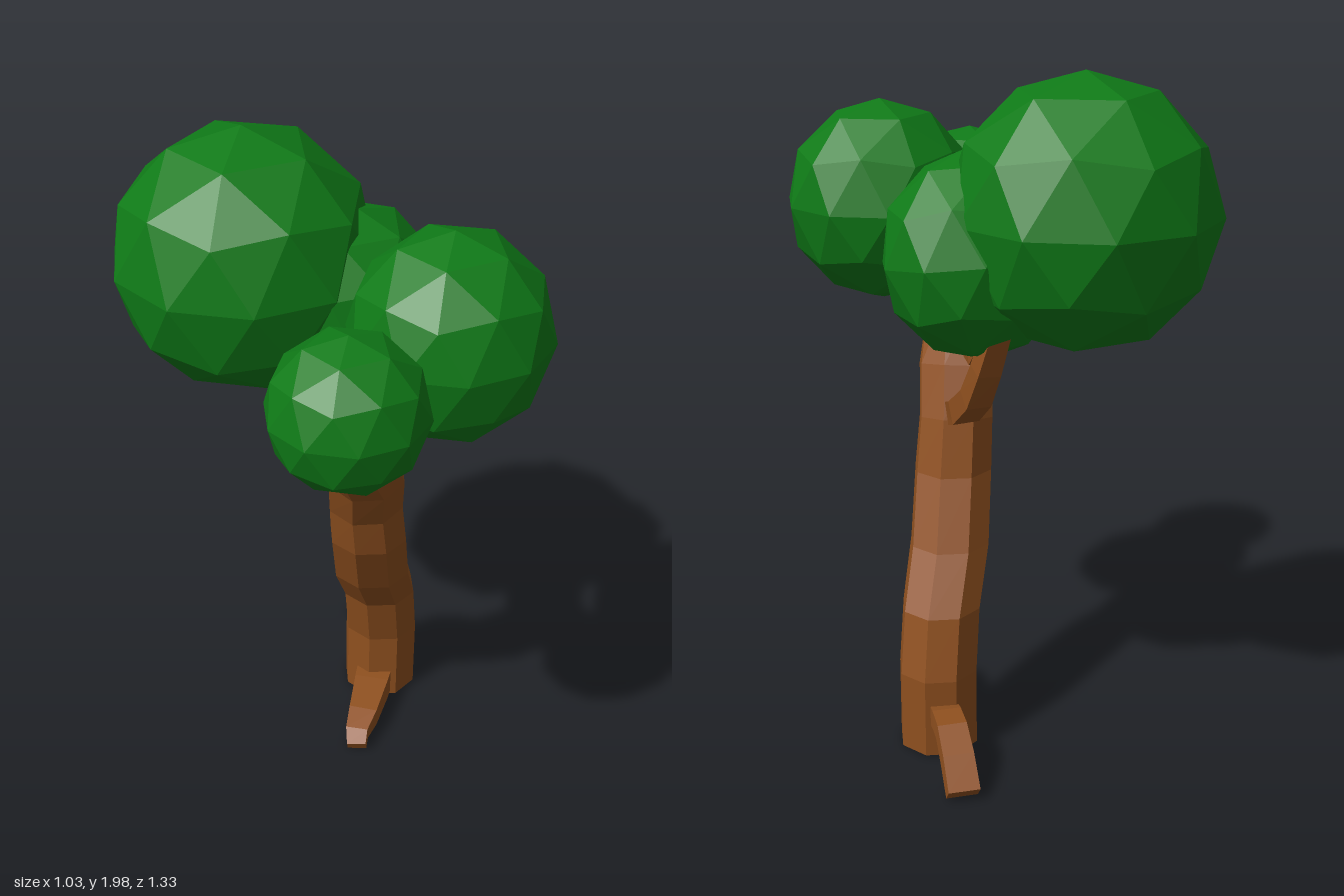
import * as THREE from 'three';

const bark = new THREE.MeshStandardMaterial({ color: 0x8f501f, flatShading: true });
const leaf = new THREE.MeshStandardMaterial({ color: 0x0f7a17, flatShading: true });
const UP = new THREE.Vector3(0, 1, 0);

// Sweeps an n-sided section along rows of [x, y, z, halfWidth, halfHeight, tilt].
// tilt 0 keeps a ring level, tilt 1 sets it square to the path.
function sweep(name, rows, side, n, phase) {
  const centres = rows.map(r => new THREE.Vector3(r[0], r[1], r[2]));
  const last = rows.length - 1;
  const pos = [], index = [];
  rows.forEach(([, , , w, h, tilt = 1], i) => {
    const tangent = centres[Math.min(i + 1, last)].clone()
      .sub(centres[Math.max(i - 1, 0)]).normalize();
    const dir = UP.clone().lerp(tangent, tilt).normalize();
    const u = side.clone().addScaledVector(dir, -side.dot(dir)).normalize();
    const v = dir.clone().cross(u);
    for (let j = 0; j < n; j++) {
      const a = phase + (j / n) * Math.PI * 2;
      const p = centres[i].clone()
        .addScaledVector(u, w * Math.cos(a)).addScaledVector(v, h * Math.sin(a));
      pos.push(p.x, p.y, p.z);
    }
  });
  for (let i = 0; i < last; i++) {
    for (let j = 0; j < n; j++) {
      const k = (j + 1) % n, a = i * n, b = a + n;
      index.push(a + j, a + k, b + k, a + j, b + k, b + j);
    }
  }
  // end caps
  for (let j = 1; j < n - 1; j++) {
    index.push(0, j + 1, j, last * n, last * n + j, last * n + j + 1);
  }
  const indexed = new THREE.BufferGeometry();
  indexed.setAttribute('position', new THREE.Float32BufferAttribute(pos, 3));
  indexed.setIndex(index);
  const geo = indexed.toNonIndexed();
  geo.computeVertexNormals();
  const mesh = new THREE.Mesh(geo, bark);
  mesh.name = name;
  return mesh;
}

// Four-sided branch or root; its width lies level, across its heading.
function limb(name, rows) {
  const a = rows[0], b = rows[rows.length - 1];
  const side = new THREE.Vector3(b[2] - a[2], 0, a[0] - b[0]).normalize();
  const scaled = rows.map(([x, y, z, w, h]) => [x, y, z, w * Math.SQRT2, h * Math.SQRT2]);
  return sweep(name, scaled, side, 4, Math.PI / 4);
}

// Icosphere standing on a vertex
function foliage(name, centre, radii, tiltX = 0) {
  const geo = new THREE.IcosahedronGeometry(1, 1);
  geo.rotateZ(Math.atan(2 / (1 + Math.sqrt(5))));
  geo.rotateY(Math.PI);
  geo.scale(...radii);
  geo.computeVertexNormals();
  const mesh = new THREE.Mesh(geo, leaf);
  mesh.name = name;
  mesh.position.set(...centre);
  mesh.rotation.x = tiltX;
  return mesh;
}

export function createModel() {
  const tree = new THREE.Group();
  tree.name = 'tree';

  // leaning octagonal trunk, tapering into the front branch
  const trunk = [
    [0.285, 0.02, -0.025, 0.12, 0.12, 0],
    [0.285, 0.26, -0.025, 0.12, 0.12, 0],
    [0.245, 0.44, 0.0, 0.119, 0.119, 0],
    [0.15, 0.60, 0.06, 0.122, 0.122, 0],
    [0.075, 0.80, 0.12, 0.12, 0.12, 0],
    [0.042, 0.95, 0.14, 0.115, 0.115, 0.5],
    [-0.005, 1.09, 0.185, 0.115, 0.12, 0.5],
    [-0.09, 1.24, 0.24, 0.115, 0.115, 0.8],
    [-0.24, 1.37, 0.35, 0.06, 0.06, 1],
    [-0.31, 1.46, 0.42, 0.045, 0.045, 1],
  ];
  tree.add(sweep('trunk', trunk, new THREE.Vector3(1, 0, 0), 8, -17 * Math.PI / 180));

  // branches
  tree.add(
    limb('rightBranch', [
      [0.08, 0.98, 0.09, 0.04, 0.035],
      [0.145, 1.02, 0.0, 0.04, 0.035],
      [0.185, 1.09, -0.09, 0.038, 0.032],
      [0.205, 1.19, -0.15, 0.035, 0.03],
      [0.2, 1.34, -0.2, 0.03, 0.03],
    ]),
    limb('backBranch', [
      [-0.02, 1.2, 0.17, 0.045, 0.045],
      [0.06, 1.23, 0.06, 0.04, 0.035],
      [0.15, 1.21, -0.07, 0.035, 0.03],
      [0.17, 1.34, -0.16, 0.03, 0.03],
    ]),
    limb('upperBranch', [
      [-0.06, 1.2, 0.22, 0.045, 0.045],
      [-0.08, 1.33, 0.17, 0.04, 0.04],
      [-0.06, 1.5, 0.06, 0.03, 0.03],
    ]),
  );

  // roots
  tree.add(
    limb('frontRoot', [
      [0.26, 0.075, -0.01, 0.06, 0.045],
      [0.17, 0.075, 0.055, 0.055, 0.042],
      [0.06, 0.068, 0.13, 0.045, 0.034],
      [0.0, 0.055, 0.165, 0.035, 0.026],
      [-0.03, 0.035, 0.195, 0.03, 0.018],
    ]),
    limb('backRoot', [
      [0.31, 0.14, -0.06, 0.04, 0.03],
      [0.365, 0.16, -0.145, 0.042, 0.03],
      [0.395, 0.155, -0.195, 0.043, 0.03],
      [0.43, 0.105, -0.255, 0.045, 0.03],
      [0.47, 0.035, -0.32, 0.046, 0.026],
    ]),
  );

  // foliage
  tree.add(
    foliage('backFoliage', [-0.04, 1.612, -0.285], [0.388, 0.388, 0.384]),
    foliage('frontFoliage', [0.102, 1.581, 0.386], [0.286, 0.297, 0.278]),
    foliage('leftFoliage', [0.15, 1.493, -0.06], [0.284, 0.295, 0.253], 0.12),
    foliage('rightFoliage', [-0.31, 1.535, 0.432], [0.215, 0.215, 0.215]),
  );
  return tree;
}
